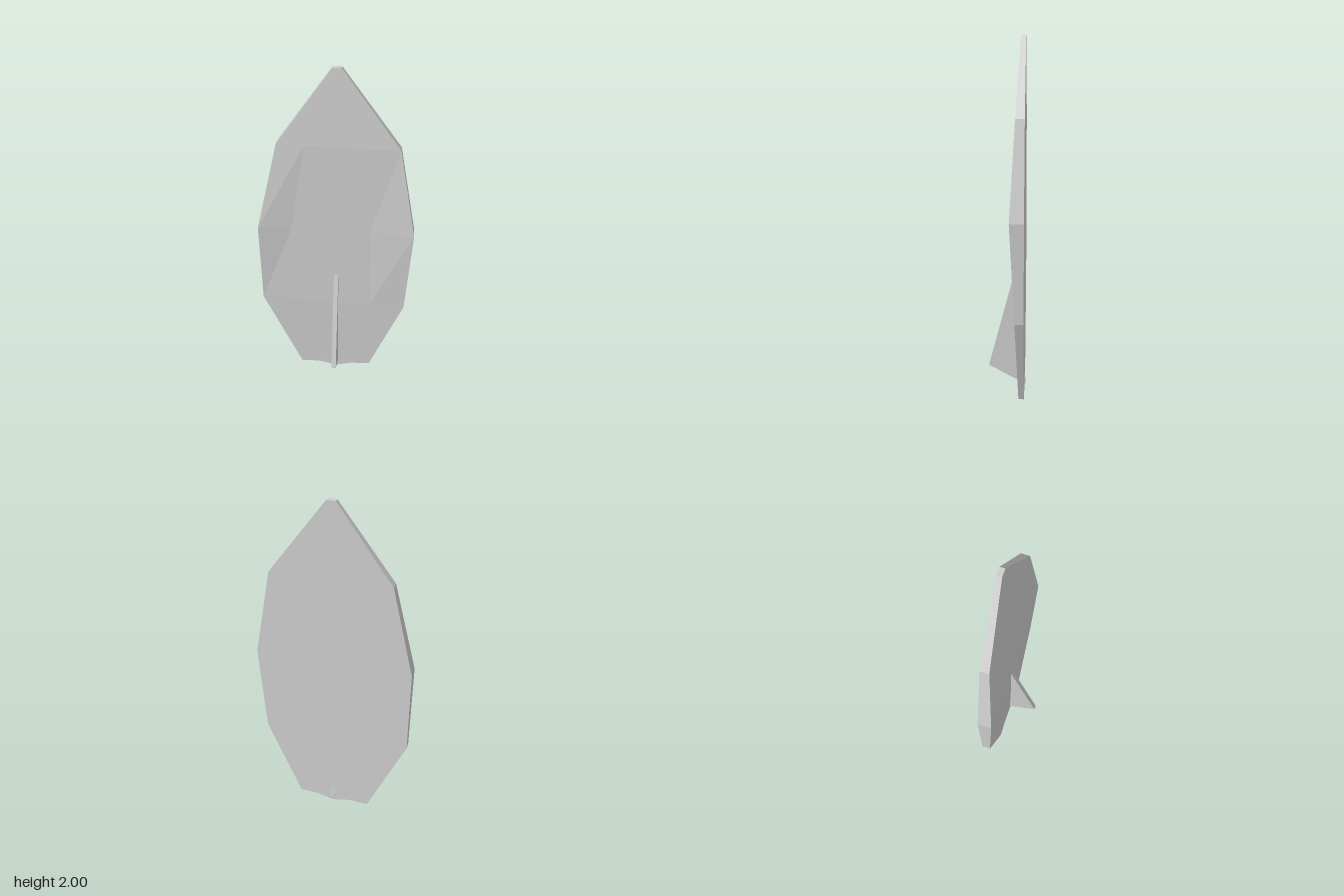
import * as THREE from 'three';

const BACK = -0.1;

// Cross rows of the deck from tail to nose: five [x, y, z] points each
const ROWS = [
  [[-0.22, 0.025, -0.07], [-0.11, 0.03, -0.07], [0, 0.003, -0.07], [0.1, 0.03, -0.07], [0.21, 0.035, -0.07]],
  [[-0.44, 0.56, -0.053], [-0.22, 0.555, -0.054], [0, 0.55, -0.054], [0.2, 0.545, -0.054], [0.405, 0.54, -0.053]],
  [[-0.437, 1.075, -0.025], [-0.25, 1.075, -0.052], [0, 1.07, -0.052], [0.19, 1.07, -0.052], [0.433, 1.07, -0.025]],
  [[-0.315, 1.59, -0.052], [-0.17, 1.587, -0.052], [0, 1.585, -0.052], [0.18, 1.582, -0.052], [0.335, 1.58, -0.052]],
  [[-0.022, 2, -0.073], [-0.011, 2, -0.073], [0, 2, -0.073], [0.012, 2, -0.073], [0.025, 2, -0.073]],
];

function boardGeometry() {
  const pos = [];
  const quad = (a, b, c, d) => pos.push(...a, ...b, ...c, ...a, ...c, ...d);
  const flat = ([x, y]) => [x, y, BACK];
  const last = ROWS.length - 1;

  // Front deck and flat back
  for (let r = 0; r < last; r++) {
    for (let c = 0; c < 4; c++) {
      const a = ROWS[r][c], b = ROWS[r][c + 1], d = ROWS[r + 1][c + 1], e = ROWS[r + 1][c];
      quad(a, b, d, e);
      quad(flat(b), flat(a), flat(e), flat(d));
    }
  }

  // Rim wall, anticlockwise around the outline
  const rim = [
    ...ROWS[0],
    ...ROWS.slice(1, last).map((row) => row[4]),
    ...[...ROWS[last]].reverse(),
    ...ROWS.slice(1, last).map((row) => row[0]).reverse(),
  ];
  rim.forEach((p, i) => {
    const q = rim[(i + 1) % rim.length];
    quad(p, flat(p), flat(q), q);
  });

  const geometry = new THREE.BufferGeometry();
  geometry.setAttribute('position', new THREE.Float32BufferAttribute(pos, 3));
  geometry.computeVertexNormals();
  return geometry;
}

function finGeometry() {
  // Side profile as (-z, y), extruded to the fin's thickness and turned to face front
  const profile = new THREE.Shape([
    new THREE.Vector2(-0.105, 0.15),
    new THREE.Vector2(0.106, 0.035),
    new THREE.Vector2(0.055, 0.76),
  ]);
  const width = 0.026;
  return new THREE.ExtrudeGeometry(profile, { depth: width, bevelEnabled: false })
    .translate(0, 0, -width / 2)
    .rotateY(Math.PI / 2);
}

export function createModel() {
  const group = new THREE.Group();
  const material = new THREE.MeshStandardMaterial({ color: 0xcccccc, flatShading: true });

  const board = new THREE.Mesh(boardGeometry(), material);
  board.name = 'board';

  const fin = new THREE.Mesh(finGeometry(), material);
  fin.name = 'fin';

  group.add(board, fin);
  return group;
}
